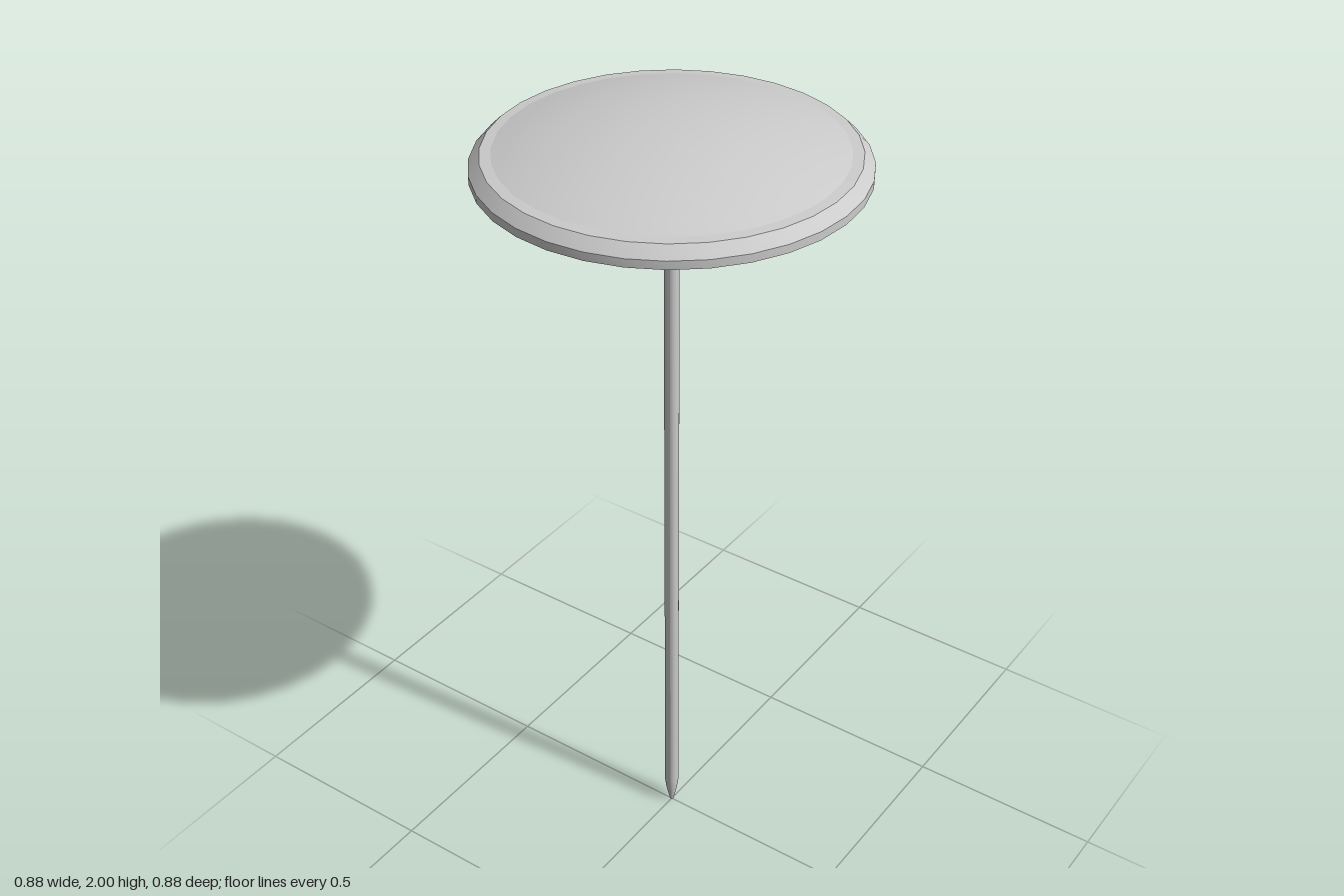
import * as THREE from 'three';
import { toCreasedNormals } from 'three/addons/utils/BufferGeometryUtils.js';

const material = new THREE.MeshStandardMaterial({ color: 0xcccccc });

// Turned part from [radius, height] points, listed bottom to top
function turned(name, profile, segments = 32) {
  const points = profile.map(([r, y]) => new THREE.Vector2(r, y));
  const geometry = toCreasedNormals(new THREE.LatheGeometry(points, segments), 0.4);
  const mesh = new THREE.Mesh(geometry, material);
  mesh.name = name;
  return mesh;
}

export function createModel() {
  const group = new THREE.Group();
  group.name = 'roundHeadedPin';

  // Long shaft with a short tapered tip
  group.add(turned('pinShaft', [
    [0, 0], [0.005, 0.003], [0.014, 0.045], [0.018, 0.075], [0.018, 1.86],
  ], 16));

  // Small collar where the shaft meets the head
  group.add(turned('collar', [
    [0, 1.84], [0.205, 1.84], [0.215, 1.85], [0.215, 1.875], [0, 1.875],
  ]));

  // Backing plate under the rim
  group.add(turned('backingPlate', [
    [0, 1.87], [0.39, 1.87], [0.4, 1.88], [0.4, 1.91], [0, 1.91],
  ]));

  // Bevelled rim
  group.add(turned('rim', [
    [0, 1.895], [0.44, 1.895], [0.44, 1.915], [0.415, 1.94], [0.385, 1.942],
  ]));

  // Shallow spherical dome
  const base = 1.942, rise = 2 - base, rim = 0.39;
  const radius = (rim * rim + rise * rise) / (2 * rise);
  const sweep = Math.asin(rim / radius);
  const arc = [];
  for (let i = 0; i <= 10; i++) {
    const a = sweep * (1 - i / 10);
    arc.push([radius * Math.sin(a), 2 - radius + radius * Math.cos(a)]);
  }
  group.add(turned('dome', arc));

  return group;
}
